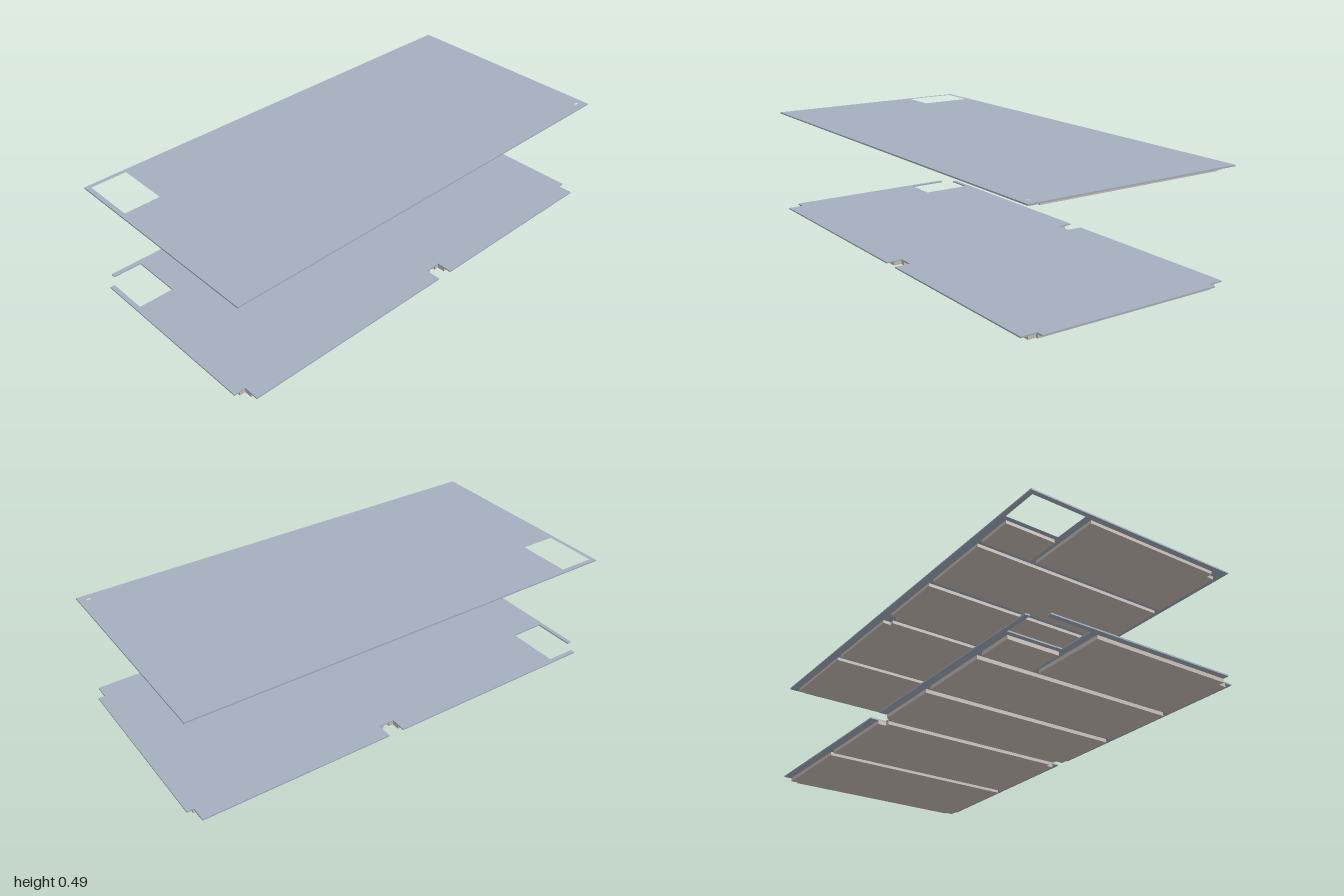
import * as THREE from 'three';

const plateMat = new THREE.MeshStandardMaterial({ color: 0xa4afbe });
const panelMat = new THREE.MeshStandardMaterial({ color: 0xc8bfb8 });

const HALF_Z = 0.49, PANEL_Z = 0.455, NOTCH_Z = 0.42;

// Horizontal slab from an outline of [x, z] points, standing on y
function slab(name, outline, y, height, material, holes = []) {
  const toPoints = (pts) => pts.map(([x, z]) => new THREE.Vector2(x, -z));
  const shape = new THREE.Shape(toPoints(outline));
  for (const hole of holes) shape.holes.push(new THREE.Path(toPoints(hole)));
  const geometry = new THREE.ExtrudeGeometry(shape, { depth: height, bevelEnabled: false });
  geometry.rotateX(-Math.PI / 2);
  const mesh = new THREE.Mesh(geometry, material);
  mesh.name = name;
  mesh.position.y = y;
  return mesh;
}

const rect = (x0, x1, z0, z1) => [[x0, z0], [x1, z0], [x1, z1], [x0, z1]];

// Rectangle whose left and right corners step in to x = a and x = b beyond the column line
function notched(x0, x1, z0, z1, a = x0, b = x1) {
  const left = (z, sign) => (a > x0 && Math.abs(z) > NOTCH_Z
    ? [[x0, sign * NOTCH_Z], [a, sign * NOTCH_Z], [a, z]] : [[x0, z]]);
  const right = (z, sign) => (b < x1 && Math.abs(z) > NOTCH_Z
    ? [[x1, sign * NOTCH_Z], [b, sign * NOTCH_Z], [b, z]] : [[x1, z]]);
  return [...left(z0, -1).reverse(), ...right(z0, -1).reverse(), ...right(z1, 1), ...left(z1, 1)]
    .length ? [...left(z0, -1), ...right(z0, -1).reverse(), ...right(z1, 1), ...left(z1, 1).reverse()] : [];
}

// Ceiling panels hung below a floor plate, with gaps for the beams
function panels(y, height) {
  const group = new THREE.Group();
  group.name = 'undersidePanels';
  const z = PANEL_Z;
  const outlines = [
    notched(-0.975, -0.645, -0.2, z, -0.95),
    rect(-0.80, -0.645, -z, -0.23),
    rect(-0.615, -0.30, -z, z),
    notched(-0.265, 0.06, -z, z, -0.265, 0.04),
    notched(0.09, 0.515, -z, z, 0.11),
    notched(0.545, 0.975, -z, z, 0.545, 0.965),
  ];
  outlines.forEach((o, i) => group.add(slab('panel' + (i + 1), o, y, height, panelMat)));
  return group;
}

export function createModel() {
  const model = new THREE.Group();
  model.name = 'floorDecks';

  // Upper deck: full rectangle with a stair opening and a small slot
  const upper = new THREE.Group();
  upper.name = 'upperDeck';
  upper.add(slab('upperPlate', rect(-1, 1, -HALF_Z, HALF_Z), 0.488, 0.006, plateMat, [
    rect(-0.98, -0.82, -0.47, -0.23),
    rect(0.95, 0.968, 0.449, 0.46),
  ]));
  upper.add(panels(0.474, 0.014));

  // Lower deck: column notches at the corners and mid edges, opening joined to one corner
  const lower = new THREE.Group();
  lower.name = 'lowerDeck';
  const h = HALF_Z, n = NOTCH_Z;
  const outline = [
    // back edge, towards the right end
    [-0.95, -h], [0.04, -h], [0.04, -n], [0.11, -n], [0.11, -h],
    [0.97, -h], [0.97, -n], [1, -n],
    // front edge, back towards the left end
    [1, n], [0.97, n], [0.97, h], [0.11, h], [0.11, n], [0.04, n], [0.04, h],
    [-0.95, h], [-0.95, n], [-1, n],
    // left strip and around the stair opening
    [-1, -n], [-0.98, -n], [-0.98, -0.23], [-0.82, -0.23], [-0.82, -0.47], [-0.95, -0.47],
  ];
  lower.add(slab('lowerPlate', outline, 0.016, 0.006, plateMat));
  lower.add(panels(0, 0.016));

  model.add(upper, lower);
  return model;
}
